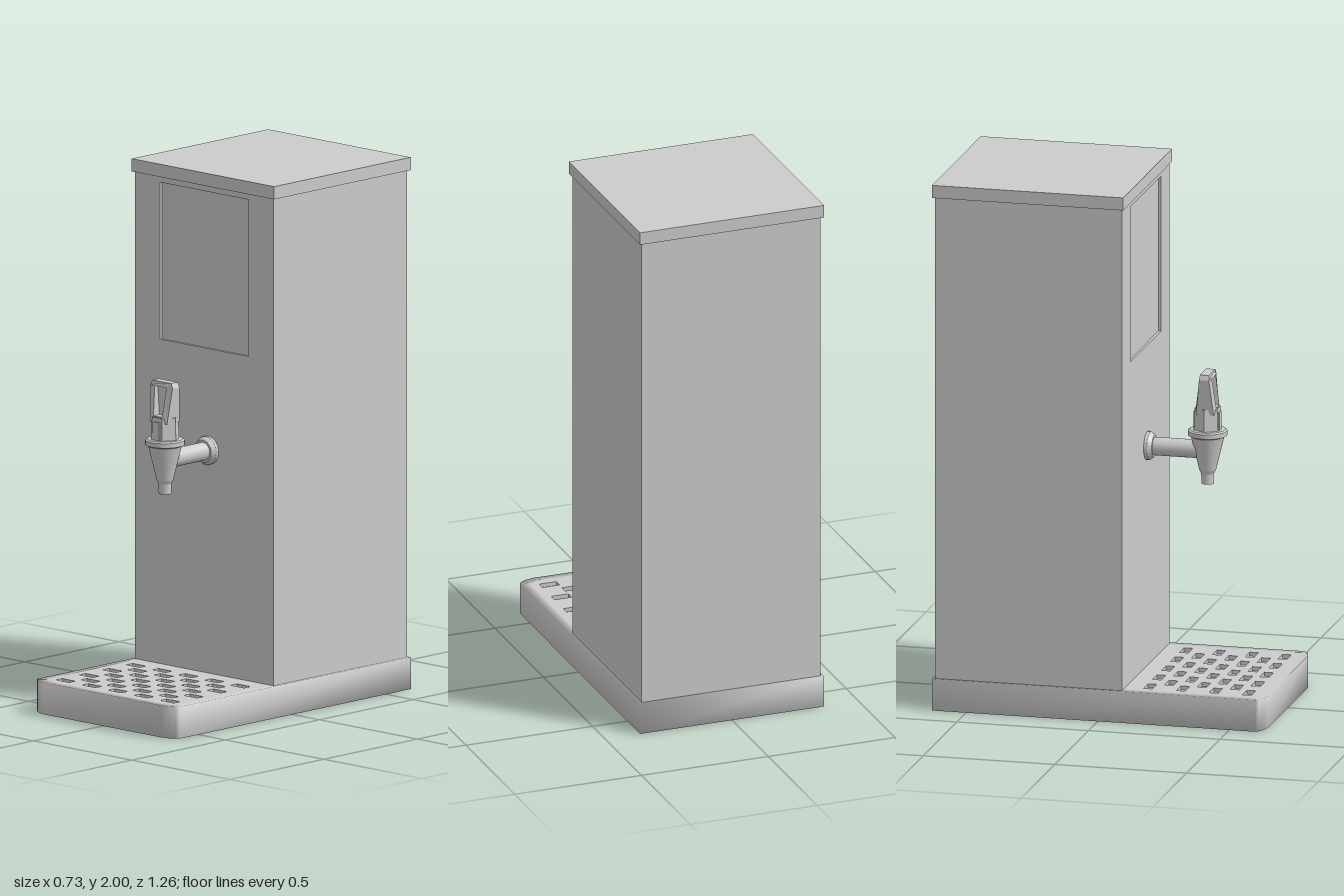
import * as THREE from 'three';

const material = new THREE.MeshStandardMaterial({ color: 0xcccccc });
const doubleSided = new THREE.MeshStandardMaterial({ color: 0xcccccc, side: THREE.DoubleSide });

function add(parent, name, geometry, x = 0, y = 0, z = 0, mat = material) {
  const mesh = new THREE.Mesh(geometry, mat);
  mesh.name = name;
  mesh.position.set(x, y, z);
  parent.add(mesh);
  return mesh;
}

// Rectangle outline, usable as a shape or as a hole
function rect(Type, x0, y0, x1, y1) {
  const p = new Type();
  p.moveTo(x0, y0).lineTo(x1, y0).lineTo(x1, y1).lineTo(x0, y1).closePath();
  return p;
}

const lathe = (points, sides) =>
  new THREE.LatheGeometry(points.map(([r, y]) => new THREE.Vector2(r, y)), sides);

// Sharp-edged lathe: every band has its own vertices
function bands(parent, name, points, sides, place) {
  for (let i = 0; i < points.length - 1; i++) {
    place(add(parent, name, lathe([points[i], points[i + 1]], sides)));
  }
}

// Base outline in plan: square back, rounded front corners
const W = 0.363, D = 0.63;
function outline(inset) {
  const sx = 1 - inset / W, sz = 1 - inset / D;
  const corner = [[W, 0.6], [0.352, 0.611], [0.332, 0.622], [0.3, D]];
  const pts = [[-W, -D], [W, -D], ...corner, ...corner.map(([x, z]) => [-x, z]).reverse()];
  return pts.map(([x, z]) => [x * sx, z * sz]);
}

function buildBase() {
  const base = new THREE.Group();
  base.name = 'base';

  // Softly shaded shell: bottom rim, walls, top rim
  const rings = [[0.06, 0], [0, 0], [0, 0.12], [0.033, 0.12]];
  const positions = [], index = [];
  const n = outline(0).length;
  rings.forEach(([inset, y]) => outline(inset).forEach(([x, z]) => positions.push(x, y, z)));
  for (let r = 0; r < rings.length - 1; r++) {
    for (let i = 0; i < n; i++) {
      const a = r * n + i, b = r * n + (i + 1) % n;
      index.push(a, a + n, b, b, a + n, b + n);
    }
  }
  const shell = new THREE.BufferGeometry();
  shell.setAttribute('position', new THREE.Float32BufferAttribute(positions, 3));
  shell.setIndex(index);
  shell.computeVertexNormals();
  add(base, 'baseShell', shell);

  // Underside
  const flat = inset => new THREE.Shape(outline(inset).map(([x, z]) => new THREE.Vector2(x, z)));
  add(base, 'baseUnderside', new THREE.ShapeGeometry(flat(0.06)).rotateX(Math.PI / 2));

  // Drip plate with staggered slots
  const plate = flat(0.033);
  for (let row = 0; row < 7; row++) {
    const count = row % 2 ? 4 : 5;
    const z = 0.175 + row * 0.0625;
    for (let i = 0; i < count; i++) {
      const x = (i - (count - 1) / 2) * 0.133;
      plate.holes.push(rect(THREE.Path, x - 0.034, z - 0.017, x + 0.034, z + 0.017));
    }
  }
  const depth = 0.015;
  const plateGeometry = new THREE.ExtrudeGeometry(plate, { depth, bevelEnabled: false });
  add(base, 'dripPlate', plateGeometry.rotateX(Math.PI / 2), 0, 0.12, 0);
  add(base, 'slotFloor', new THREE.BoxGeometry(0.65, 0.01, 0.46), 0, 0.12 - depth - 0.005, 0.36);
  return base;
}

function buildTank() {
  const tank = new THREE.Group();
  tank.name = 'tank';
  const half = 0.353, front = 0.09, back = -0.62, recess = 0.01;
  const depth = front - recess - back;
  add(tank, 'tankBody', new THREE.BoxGeometry(half * 2, 1.83, depth), 0, 1.035, back + depth / 2);

  // Front skin with a shallow recessed panel
  const skin = rect(THREE.Shape, -half, 0.12, half, 1.95);
  skin.holes.push(rect(THREE.Path, -0.225, 1.34, 0.225, 1.93));
  add(tank, 'frontPanel', new THREE.ExtrudeGeometry(skin, { depth: recess, bevelEnabled: false }),
    0, 0, front - recess);
  add(tank, 'lid', new THREE.BoxGeometry(W * 2, 0.048, 0.727), 0, 1.976, -0.2665);
  return tank;
}

function buildTap() {
  const tap = new THREE.Group();
  tap.name = 'tap';
  tap.position.set(0.02, 0, 0.32);

  // Funnel-shaped valve with its rim
  bands(tap, 'valve', [[0, 0.83], [0.023, 0.83], [0.024, 0.868], [0.031, 0.882], [0.062, 1.01],
    [0.073, 1.015], [0.073, 1.032], [0.066, 1.037], [0, 1.037]], 32, () => {});

  // Pipe and wall flange, running back to the tank
  const toWall = mesh => { mesh.rotation.x = Math.PI / 2; mesh.position.set(0, 0.958, -0.23); };
  bands(tap, 'pipe', [[0.034, 0.02], [0.034, 0.23]], 24, toWall);
  bands(tap, 'wallFlange', [[0.053, 0], [0.053, 0.012], [0.042, 0.028], [0.034, 0.028]], 24, toWall);

  // Six-sided collar
  const collar = new THREE.CylinderGeometry(0.052, 0.056, 0.085, 6).toNonIndexed();
  collar.rotateY(Math.PI / 2).scale(1, 1, 0.95);
  collar.computeVertexNormals();
  add(tap, 'collar', collar, 0, 1.078, 0);
  for (const s of [-1, 1]) {
    add(tap, 'collarRib', new THREE.BoxGeometry(0.034, 0.07, 0.012), 0, 1.07, s * 0.043);
  }

  // Lever: a frame that widens in x and thins in z towards the top
  const frame = new THREE.Shape();
  [[-0.042, 1.1], [0.042, 1.1], [0.056, 1.235], [0.048, 1.253], [-0.048, 1.253], [-0.056, 1.235]]
    .forEach(([x, y], i) => (i ? frame.lineTo(x, y) : frame.moveTo(x, y)));
  const slot = new THREE.Path();
  slot.moveTo(-0.022, 1.125).lineTo(0.022, 1.125).lineTo(0.03, 1.235).lineTo(-0.03, 1.235).closePath();
  frame.holes.push(slot);
  const lever = new THREE.ExtrudeGeometry(frame, { depth: 2, bevelEnabled: false });
  const p = lever.attributes.position;
  for (let i = 0; i < p.count; i++) {
    const t = (p.getY(i) - 1.1) / 0.153;
    const edge = Math.abs(p.getX(i)) > 0.035 ? 0.8 : 1;
    p.setZ(i, (p.getZ(i) - 1) * THREE.MathUtils.lerp(0.042, 0.021, t) * edge);
  }
  lever.computeVertexNormals();
  add(tap, 'lever', lever, 0, 0, 0, doubleSided);
  add(tap, 'leverWeb', new THREE.BoxGeometry(0.07, 0.13, 0.014), 0, 1.175, 0);
  return tap;
}

export function createModel() {
  const model = new THREE.Group();
  model.name = 'waterDispenser';
  model.add(buildBase(), buildTank(), buildTap());
  return model;
}
